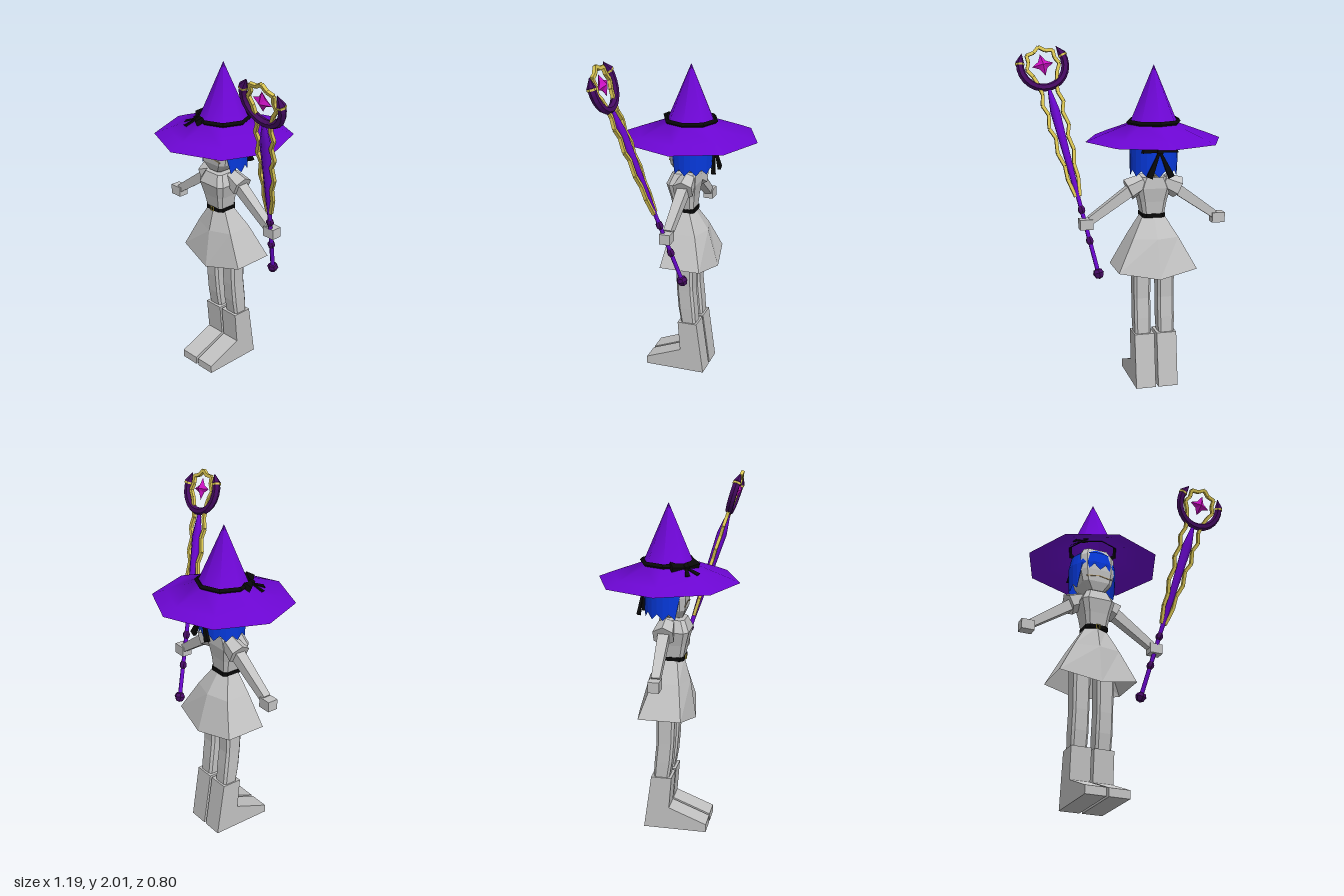
import * as THREE from 'three';

const mat = (name, color, extra = {}) => {
  const m = new THREE.MeshStandardMaterial({ color, flatShading: true, ...extra });
  m.name = name;
  return m;
};

export function createModel() {
  const grey = mat('pale grey', 0xc2c2c2, { side: THREE.DoubleSide });
  const tan = mat('tan', 0xb09a72);
  const purple = mat('purple', 0x6c06d2, { side: THREE.DoubleSide, flatShading: false });
  const darkPurple = mat('dark purple', 0x450a62);
  const gold = mat('gold', 0xd9c552);
  const magenta = mat('magenta', 0xc80fc0);
  const blue = mat('hair blue', 0x0639dc, { side: THREE.DoubleSide });
  const black = mat('black', 0x080808);

  const model = new THREE.Group();
  const figure = new THREE.Group();
  figure.name = 'figure';
  figure.position.x = -0.155;
  model.add(figure);

  const add = (parent, name, geometry, material, x = 0, y = 0, z = 0) => {
    const m = new THREE.Mesh(geometry, material);
    m.name = name;
    m.position.set(x, y, z);
    parent.add(m);
    return m;
  };

  // Skin cross-sections, listed bottom to top, each running from +z towards +x
  const skin = (rings, capped = true) => {
    const pos = [], n = rings[0].length;
    const tri = (...p) => p.forEach((v) => pos.push(v[0], v[1], v[2]));
    for (let k = 0; k < rings.length - 1; k++) {
      for (let i = 0; i < n; i++) {
        const j = (i + 1) % n, lo = rings[k], hi = rings[k + 1];
        tri(lo[i], lo[j], hi[j]);
        tri(lo[i], hi[j], hi[i]);
      }
    }
    const bottom = rings[0], top = rings[rings.length - 1];
    for (let i = 1; capped && i < n - 1; i++) {
      tri(bottom[0], bottom[i + 1], bottom[i]);
      tri(top[0], top[i], top[i + 1]);
    }
    const g = new THREE.BufferGeometry();
    g.setAttribute('position', new THREE.Float32BufferAttribute(pos, 3));
    g.computeVertexNormals();
    return g;
  };
  // Bevelled rectangle: height, half width, back z, front z, bevel fraction
  const section = ([y, hx, z0, z1, b = 0.28]) => {
    const c = (z0 + z1) / 2, h = (z1 - z0) / 2, k = 1 - b;
    return [[-k, 1], [k, 1], [1, k], [1, -k], [k, -1], [-k, -1], [-1, -k], [-1, k]]
      .map(([u, w]) => [u * hx, y, c + w * h]);
  };
  const loft = (rows) => skin(rows.map(section));

  // Tapered bar between two points
  const beam = (parent, name, a, b, ra, rb, material, sides = 4) => {
    const p = new THREE.Vector3(...a), q = new THREE.Vector3(...b);
    const d = q.clone().sub(p);
    const g = new THREE.CylinderGeometry(rb, ra, d.length(), sides).rotateY(Math.PI / sides);
    const m = add(parent, name, g, material);
    m.position.copy(p).add(q).multiplyScalar(0.5);
    m.quaternion.setFromUnitVectors(new THREE.Vector3(0, 1, 0), d.normalize());
    return m;
  };

  // Dress
  add(figure, 'bodice', loft([[1.03, 0.062, -0.03, 0.09], [1.12, 0.078, -0.038, 0.108],
    [1.2, 0.1, -0.05, 0.128], [1.265, 0.068, -0.045, 0.1]]), grey);
  const hem = (ySide, yFront, yBack, hx, zf, zb, f, b) => [[0, yFront, f], [hx, ySide, zf],
    [hx, ySide, zb], [0, yBack, b], [-hx, ySide, zb], [-hx, ySide, zf]];
  add(figure, 'skirt', skin([
    hem(0.725, 0.67, 0.685, 0.235, 0.115, -0.13, 0.16, -0.175),
    hem(0.91, 0.9, 0.91, 0.137, 0.085, -0.07, 0.127, -0.11),
    hem(1.035, 1.035, 1.035, 0.064, 0.06, -0.01, 0.09, -0.03)], false), grey);
  add(figure, 'belt', loft([[1.025, 0.069, -0.038, 0.097], [1.048, 0.069, -0.038, 0.097]]), black);
  add(figure, 'buckle', new THREE.TorusGeometry(0.016, 0.004, 4, 4).rotateZ(Math.PI / 4), gold, 0, 1.036, 0.1);

  // Limbs
  const boot = new THREE.Shape([[0.04, 0.325], [0.025, 0.135], [0.245, 0.048], [0.245, 0],
    [-0.125, 0], [-0.08, 0.325]].map(([z, y]) => new THREE.Vector2(z, y)));
  const bootGeo = new THREE.ExtrudeGeometry(boot, { depth: 0.12, bevelEnabled: false })
    .translate(0, 0, -0.06).rotateY(-Math.PI / 2);
  const legGeo = loft([[0.3, 0.047, -0.07, 0.02], [0.42, 0.05, -0.062, 0.04],
    [0.54, 0.049, -0.05, 0.05], [0.92, 0.054, -0.05, 0.065]]);
  for (const s of [1, -1]) {
    const side = s > 0 ? 'left' : 'right';
    add(figure, side + 'Leg', legGeo, grey, s * 0.072);
    add(figure, side + 'Boot', bootGeo, grey, s * 0.068);
    beam(figure, side + 'Sleeve', [s * 0.06, 1.235, 0], [s * 0.15, 1.193, 0], 0.05, 0.066, grey, 6);
    beam(figure, side + 'Arm', [s * 0.12, 1.2, 0], [s * 0.375, 1.02, 0.008], 0.045, 0.033, grey);
    add(figure, side + 'Hand', new THREE.BoxGeometry(0.078, 0.06, 0.062), grey, s * 0.4, 1, 0.008);
    // Thin arched line across the face
    beam(figure, 'faceLine', [0, 1.363, 0.108], [s * 0.078, 1.35, 0.107], 0.004, 0.004, tan);
  }

  // Head
  add(figure, 'neck', new THREE.CylinderGeometry(0.024, 0.026, 0.12, 6), tan, 0, 1.27, -0.005);
  add(figure, 'head', loft([[1.275, 0.045, -0.03, 0.085], [1.325, 0.09, -0.08, 0.105],
    [1.4, 0.105, -0.1, 0.11], [1.5, 0.105, -0.1, 0.105], [1.55, 0.08, -0.08, 0.08]]), grey);

  // Hair: a shell with pointed locks, cut high over the face
  const cols = 24;
  const hairRing = (rx, rz, yAt) => Array.from({ length: cols }, (_, i) => {
    const a = i / cols * Math.PI * 2;
    return [Math.sin(a) * rx, yAt(i), Math.cos(a) * rz - 0.005];
  });
  const lockEnd = (i) => {
    const fromFront = Math.min(i, cols - i);
    if (fromFront < 4) return i % 2 ? 1.43 : 1.395;
    return i % 2 ? 1.315 : 1.28;
  };
  add(figure, 'hair', skin([
    hairRing(0.138, 0.13, lockEnd),
    hairRing(0.141, 0.133, (i) => 1.44 + (i % 2) * 0.005),
    hairRing(0.128, 0.122, () => 1.51),
    hairRing(0.07, 0.07, () => 1.56)], false), blue);

  // Ribbon bow: knot, two loops and two tails
  const bow = (name, size, flare, tailX, tailY, tailW) => {
    const g = new THREE.Group();
    g.name = name;
    add(g, 'knot', new THREE.BoxGeometry(0.03, 0.03, 0.03), black);
    for (const s of [1, -1]) {
      const loop = beam(g, 'loop', [0, 0, 0], [s * size, size * 0.25, 0], 0.012, flare, black);
      loop.scale.z = 0.6;
      const tail = beam(g, 'tail', [0, 0, 0], [s * tailX, -tailY, 0], 0.008, tailW, black);
      tail.scale.z = 0.5;
    }
    figure.add(g);
    return g;
  };
  const hairBow = bow('hairBow', 0.095, 0.048, 0.065, 0.15, 0.026);
  hairBow.position.set(0, 1.435, -0.143);
  hairBow.rotation.x = 0.1;

  // Hat
  const hatProfile = [[0.4, 1.48], [0.32, 1.512], [0.143, 1.577], [0, 1.91]]
    .map(([r, y]) => new THREE.Vector2(r, y));
  add(figure, 'hat', new THREE.LatheGeometry(hatProfile, 8), purple);
  add(figure, 'hatBand', new THREE.TorusGeometry(0.148, 0.015, 4, 8).rotateX(Math.PI / 2), black, 0, 1.585, 0);
  const hatBow = bow('hatBow', 0.085, 0.036, 0.035, 0.075, 0.02);
  hatBow.position.set(-0.1, 1.577, 0.115);
  hatBow.rotation.set(-1.1, -0.75, 0, 'YXZ');

  // Staff, built upright along y and then tilted through the left hand
  const staff = new THREE.Group();
  staff.name = 'staff';
  const up = new THREE.Vector3(0.248, 1.18, 0.352).normalize();
  const across = new THREE.Vector3(1, 0, 0).addScaledVector(up, -up.x).normalize();
  staff.quaternion.setFromRotationMatrix(
    new THREE.Matrix4().makeBasis(across, up, across.clone().cross(up)));
  staff.position.set(0.187, 0.715, -0.065);
  model.add(staff);

  const lathe = (points, sides) => new THREE.LatheGeometry(points.map(([r, y]) => new THREE.Vector2(r, y)), sides);
  add(staff, 'shaft', lathe([[0.013, 0], [0.013, 0.45], [0.017, 0.55], [0.03, 0.98], [0.018, 1.06], [0.008, 1.12]], 6), purple);
  add(staff, 'pommel', lathe([[0, -0.03], [0.022, -0.022], [0.034, 0.005], [0.024, 0.025], [0, 0.035]], 6), darkPurple);
  for (const y of [0.2, 0.385]) {
    add(staff, 'collar', lathe([[0.012, -0.025], [0.022, -0.008], [0.022, 0.008], [0.012, 0.025]], 6), darkPurple, 0, y);
  }

  // Open ring with pointed ends and gold bands
  const cy = 1.256, R = 0.133, gap = 0.62;
  const crescent = new THREE.TorusGeometry(R, 0.023, 6, 14, Math.PI + gap).rotateZ(Math.PI - gap / 2);
  add(staff, 'ring', crescent, darkPurple, 0, cy);
  for (const s of [1, -1]) {
    const at = (a, r = R) => [s * Math.cos(a) * r, cy + Math.sin(a) * r, 0];
    beam(staff, 'ringTip', at(gap / 2 - 0.02), at(0.72, R + 0.005), 0.027, 0.001, darkPurple, 6);
    beam(staff, 'ringBand', at(0.2), at(0.29), 0.027, 0.027, gold, 6);
  }

  // Zigzag gold rods: a star frame in the ring, then down both sides of the shaft
  const zigzag = [[0, 0.108], [0.035, 0.08], [0.08, 0.073], [0.078, 0.03], [0.098, -0.01], [0.072, -0.055],
    [0.055, -0.11], [0.045, -0.17], [0.064, -0.23], [0.042, -0.29], [0.06, -0.37], [0.036, -0.43],
    [0.05, -0.52], [0.028, -0.6], [0.032, -0.68], [0.012, -0.79]];
  for (const s of [1, -1]) {
    const pts = zigzag.map(([x, y]) => [s * x, cy + y, 0]);
    pts.slice(1).forEach((p, i) => beam(staff, 'goldRod', pts[i], p, 0.0135, 0.0135, gold));
  }

  // Four-pointed gem
  for (const [x, y] of [[0.064, 0.034], [0.034, 0.064]]) {
    add(staff, 'gem', new THREE.OctahedronGeometry(1).scale(x, y, 0.028), magenta, 0, cy);
  }
  return model;
}
